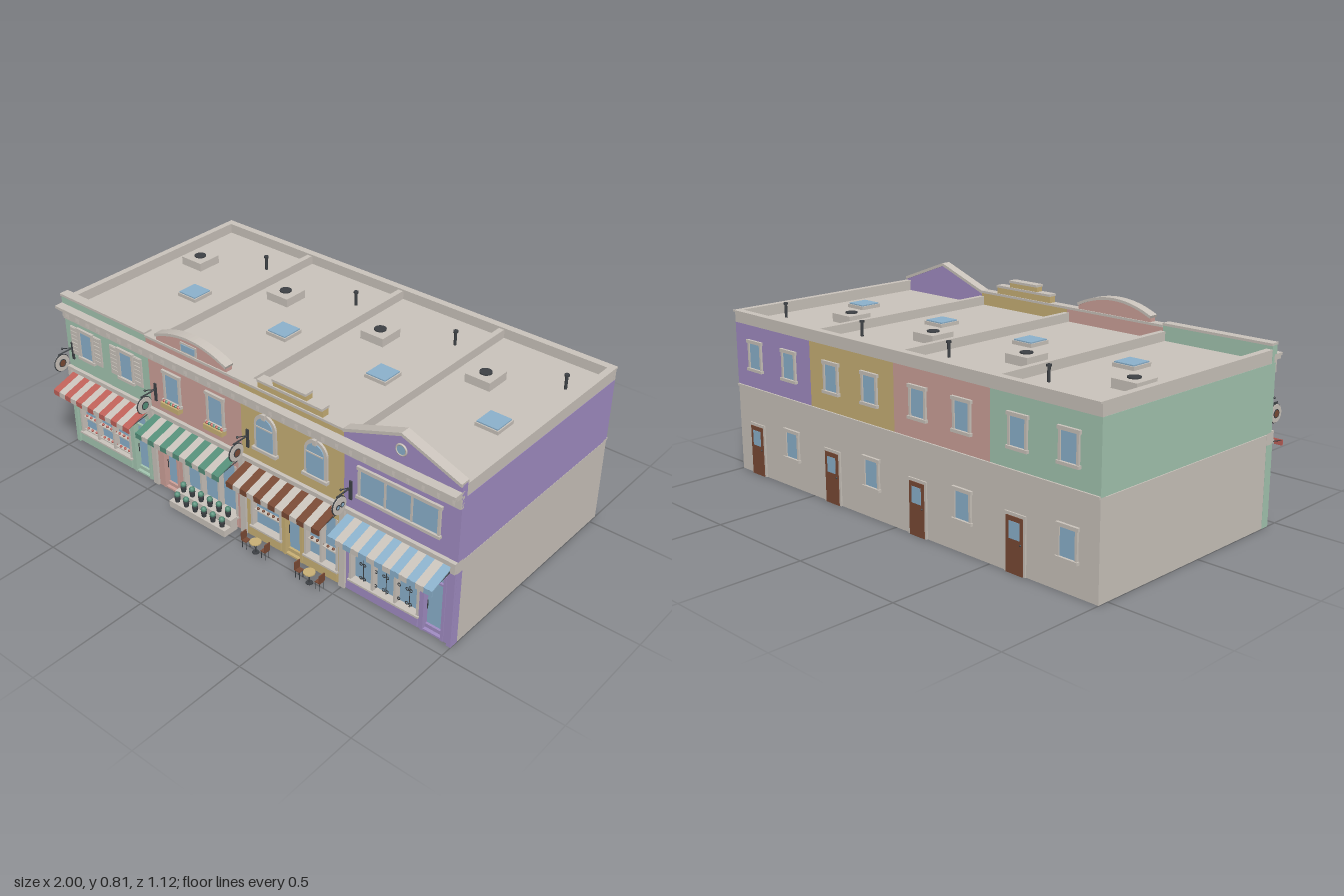
import * as THREE from 'three';

const mat = (name, color, side = THREE.FrontSide) => Object.assign(new THREE.MeshStandardMaterial({ color, side }), { name });
const M = {
  stone: mat('stone', 0xcbc4bc), green: mat('pale green', 0xa4c6b1), pink: mat('pink', 0xcfa29a),
  mustard: mat('mustard', 0xc9b176), purple: mat('purple', 0xa28dc4), glass: mat('glass', 0x8cb2cd),
  dark: mat('dark metal', 0x3d4145), brown: mat('brown', 0x7a4a35), red: mat('red', 0xc0625a),
  leaf: mat('deep green', 0x56907a),
};

function add(parent, name, geo, m, x = 0, y = 0, z = 0) {
  const mesh = new THREE.Mesh(geo, m);
  mesh.name = name;
  mesh.position.set(x, y, z);
  parent.add(mesh);
  return mesh;
}
const box = (p, name, m, x0, x1, y0, y1, z0, z1) =>
  add(p, name, new THREE.BoxGeometry(x1 - x0, y1 - y0, z1 - z0), m, (x0 + x1) / 2, (y0 + y1) / 2, (z0 + z1) / 2);
const cyl = (p, name, m, r, h, x, y, z, r2 = r) => add(p, name, new THREE.CylinderGeometry(r2, r, h, 16), m, x, y, z);
const plate = (p, name, m, pts, z0, z1) =>
  add(p, name, new THREE.ExtrudeGeometry(new THREE.Shape(pts.map(([x, y]) => new THREE.Vector2(x, y))),
    { depth: z1 - z0, bevelEnabled: false }), m, 0, 0, z0);
function rod(p, name, m, a, b, r) {
  const A = new THREE.Vector3(...a), B = new THREE.Vector3(...b), d = B.clone().sub(A);
  const mesh = add(p, name, new THREE.CylinderGeometry(r, r, d.length(), 8), m, ...A.add(B).multiplyScalar(0.5).toArray());
  mesh.quaternion.setFromUnitVectors(new THREE.Vector3(0, 1, 0), d.normalize());
  return mesh;
}

// Framed window on a wall; s = 1 front, -1 back
function wallWindow(p, x, w, y0, y1, z, s = 1, panes = 1) {
  const f = 0.01, g = new THREE.Group();
  g.name = 'window';
  box(g, 'windowGlass', M.glass, -w / 2, w / 2, y0, y1, 0, 0.004);
  for (const k of [-1, 1]) box(g, 'windowJamb', M.stone, k * w / 2 - f / 2, k * w / 2 + f / 2, y0, y1, 0, 0.009);
  box(g, 'windowHead', M.stone, -w / 2 - f, w / 2 + f, y1 - 0.004, y1 + 0.01, 0, 0.011);
  box(g, 'windowSill', M.stone, -w / 2 - f, w / 2 + f, y0 - 0.012, y0, 0, 0.014);
  for (let i = 1; i < panes; i++) box(g, 'mullion', M.stone, -w / 2 + w * i / panes - 0.004, -w / 2 + w * i / panes + 0.004, y0, y1, 0, 0.008);
  g.position.set(x, 0, z);
  if (s < 0) g.rotation.y = Math.PI;
  p.add(g);
}

// Ground floor front: wall with openings, glazing, bulkheads
function shopFront(p, m, windows, door) {
  const rect = (a, b, c, d) => [[a, c], [b, c], [b, d], [a, d]].map(([x, y]) => new THREE.Vector2(x, y));
  const s = new THREE.Shape(rect(-0.25, 0.25, 0, 0.33));
  for (const [a, b] of windows) s.holes.push(new THREE.Path(rect(a, b, 0.055, 0.295)));
  s.holes.push(new THREE.Path(rect(door[0], door[1], 0.008, 0.295)));
  add(p, 'shopWall', new THREE.ExtrudeGeometry(s, { depth: 0.03, bevelEnabled: false }), m, 0, 0, 0.41);
  for (const [a, b] of windows) {
    box(p, 'shopGlass', M.glass, a, b, 0.055, 0.295, 0.411, 0.416);
    box(p, 'bulkhead', m, a - 0.005, b + 0.005, 0.008, 0.05, 0.44, 0.448);
    const n = Math.max(1, Math.round((b - a) / 0.1));
    for (let i = 0; i <= n; i++) {
      const x = a + (b - a) * i / n;
      box(p, 'shopMullion', M.stone, x - 0.005, x + 0.005, 0.05, 0.295, 0.416, 0.443);
    }
    box(p, 'shopSill', M.stone, a - 0.008, b + 0.008, 0.048, 0.056, 0.416, 0.45);
  }
  const [a, b] = door;
  box(p, 'doorGlass', M.glass, a, b, 0.008, 0.295, 0.411, 0.416);
  for (const [y, h] of [[0.008, 0.016], [0.23, 0.008]]) box(p, 'doorRail', m, a, b, y, y + h, 0.416, 0.426);
  for (const x of [a, b]) box(p, 'doorStile', m, x - 0.006, x + 0.006, 0, 0.295, 0.416, 0.443);
  rod(p, 'doorHandle', M.dark, [a + 0.014, 0.1, 0.428], [a + 0.014, 0.14, 0.428], 0.002);
}

// Striped sloping awning with a hanging front edge
function awning(p, m) {
  const n = 13, w = 0.46 / n, slope = Math.hypot(0.11, 0.035);
  for (let i = 0; i < n; i++) {
    const x = -0.23 + w * (i + 0.5), c = i % 2 ? M.stone : m;
    add(p, 'awningStripe', new THREE.BoxGeometry(w, 0.004, slope), c, x, 0.333, 0.5).rotation.x = Math.atan2(0.035, 0.11);
    box(p, 'awningValance', c, x - w / 2, x + w / 2, 0.294, 0.317, 0.552, 0.556);
  }
  for (const x of [-0.225, 0.225]) rod(p, 'awningArm', M.dark, [x, 0.332, 0.44], [x, 0.315, 0.55], 0.002);
}

// Round hanging sign, facing sideways
function hangingSign(p, icon) {
  const x = -0.218, y = 0.43, z = 0.507;
  cyl(p, 'signDisc', M.stone, 0.036, 0.01, x, y, z).rotation.z = Math.PI / 2;
  add(p, 'signRim', new THREE.TorusGeometry(0.036, 0.003, 6, 28), M.dark, x, y, z).rotation.y = Math.PI / 2;
  rod(p, 'signRod', M.dark, [x, 0.472, 0.44], [x, 0.472, 0.52], 0.003);
  rod(p, 'signBrace', M.dark, [x, 0.473, 0.445], [x, 0.492, 0.495], 0.002);
  add(p, 'signFinial', new THREE.SphereGeometry(0.005, 8, 6), M.dark, x, 0.492, 0.497);
  box(p, 'signPlate', M.dark, x - 0.006, x + 0.006, 0.42, 0.5, 0.44, 0.446);
  for (const s of [-1, 1]) for (const dz of icon === M.glass ? [-0.012, 0.012] : [0]) {
    const r = dz ? 0.009 : 0.016;
    cyl(p, 'signEmblem', icon, r, 0.003, x + s * 0.006, y, z + dz).rotation.z = Math.PI / 2;
    add(p, 'signEmblemRing', new THREE.TorusGeometry(r, 0.002, 6, 18), M.dark, x + s * 0.0065, y, z + dz).rotation.y = Math.PI / 2;
  }
}

// Flat goods shelves in a shop window
function shelves(p, a, b, heights, m) {
  for (const y of heights) {
    box(p, 'shelf', M.stone, a, b, y, y + 0.005, 0.417, 0.438);
    for (let x = a + 0.015; x < b; x += 0.026) add(p, 'goods', new THREE.SphereGeometry(0.006, 8, 6), m, x, y + 0.009, 0.43);
  }
}

function plant(p, x, y, z, k = 1) {
  cyl(p, 'plantPot', M.dark, 0.009 * k, 0.022 * k, x, y + 0.011 * k, z, 0.012 * k);
  add(p, 'foliage', new THREE.IcosahedronGeometry(0.012 * k, 1), M.leaf, x, y + 0.032 * k, z);
}

// Shared body, cornice, roof equipment and rear of each unit
function unit(root, name, cx, m, stripe, icon) {
  const g = new THREE.Group();
  g.name = name;
  g.position.x = cx;
  root.add(g);
  box(g, 'upperFloor', m, -0.25, 0.25, 0.375, 0.645, -0.545, 0.44);
  box(g, 'frontParapet', m, -0.25, 0.25, 0.645, 0.705, 0.415, 0.445);
  box(g, 'fascia', M.stone, -0.25, 0.25, 0.33, 0.37, 0.41, 0.444);
  box(g, 'beltCourse', M.stone, -0.25, 0.25, 0.37, 0.381, 0.41, 0.456);
  box(g, 'frieze', M.stone, -0.25, 0.25, 0.607, 0.657, 0.43, 0.447);
  box(g, 'corniceLower', M.stone, -0.25, 0.25, 0.655, 0.666, 0.43, 0.472);
  box(g, 'corniceUpper', M.stone, -0.25, 0.25, 0.666, 0.677, 0.43, 0.483);
  for (let i = 0; i < 8; i++) {
    const x = -0.219 + i * 0.0625;
    box(g, 'corniceBracket', M.stone, x - 0.009, x + 0.009, 0.63, 0.656, 0.447, 0.466);
    box(g, 'bracketFoot', M.stone, x - 0.007, x + 0.007, 0.615, 0.63, 0.447, 0.456);
  }
  awning(g, stripe);
  hangingSign(g, icon);
  // Roof fan box, skylight, pipe
  box(g, 'fanBox', M.stone, -0.167, -0.055, 0.648, 0.686, -0.271, -0.159);
  cyl(g, 'roofFan', M.dark, 0.025, 0.006, -0.111, 0.688, -0.215);
  box(g, 'skylightCurb', M.stone, 0.03, 0.13, 0.648, 0.665, -0.04, 0.06);
  box(g, 'skylightGlass', M.glass, 0.035, 0.125, 0.665, 0.67, -0.035, 0.055);
  cyl(g, 'ventPipe', M.dark, 0.006, 0.06, 0.147, 0.678, -0.36);
  cyl(g, 'ventCap', M.dark, 0.01, 0.008, 0.147, 0.71, -0.36);
  // Rear door and windows
  for (const x of [-0.115, 0.115]) wallWindow(g, x, 0.08, 0.465, 0.575, -0.545, -1);
  wallWindow(g, -0.115, 0.08, 0.13, 0.24, -0.545, -1);
  box(g, 'rearDoorFrame', M.stone, 0.075, 0.175, 0, 0.225, -0.551, -0.545);
  box(g, 'rearDoor', M.brown, 0.085, 0.165, 0, 0.213, -0.554, -0.545);
  box(g, 'rearDoorGlass', M.glass, 0.1, 0.15, 0.13, 0.195, -0.5555, -0.55);
  add(g, 'rearDoorKnob', new THREE.SphereGeometry(0.004, 8, 6), M.dark, 0.095, 0.115, -0.5545);
  return g;
}
const coping = (g, a, b, y) => box(g, 'coping', M.stone, a, b, y, y + 0.01, 0.41, 0.451);

export function createModel() {
  const root = new THREE.Group();
  root.name = 'shopRow';

  // Shell: open underneath, ceiling, roof, parapets
  for (const s of [-1, 1]) {
    box(root, 'sideWall', M.stone, s * 0.985 - 0.014, s * 0.985 + 0.014, 0, 0.372, -0.545, 0.412);
    box(root, 'sideParapet', M.stone, s * 0.988 - 0.011, s * 0.988 + 0.011, 0.645, 0.69, -0.54, 0.42);
    box(root, 'sideCoping', M.stone, s * 0.986 - 0.014, s * 0.986 + 0.014, 0.69, 0.697, -0.55, 0.415);
  }
  box(root, 'rearWall', M.stone, -0.998, 0.998, 0, 0.372, -0.545, -0.52);
  box(root, 'rearBelt', M.stone, -1, 1, 0.37, 0.38, -0.552, -0.52);
  box(root, 'rearParapet', M.stone, -1, 1, 0.645, 0.69, -0.545, -0.53);
  box(root, 'rearCoping', M.stone, -1, 1, 0.69, 0.697, -0.555, -0.523);
  box(root, 'ceiling', M.stone, -0.99, 0.99, 0.362, 0.3745, -0.54, 0.435);
  box(root, 'roof', M.stone, -0.998, 0.998, 0.645, 0.65, -0.54, 0.416);
  for (const x of [-0.5, 0, 0.5]) box(root, 'partyParapet', M.stone, x - 0.012, x + 0.012, 0.645, 0.688, -0.53, 0.416);
  [-0.99, -0.5, 0, 0.5, 0.99].forEach((x, i) => {
    const w = i % 4 ? 0.014 : 0.0095, m = [M.green, M.stone, M.stone, M.stone, M.purple][i];
    box(root, 'pilaster', m, x - w, x + w, 0, 0.335, 0.44, 0.45);
    box(root, 'pilasterCapital', M.stone, x - w, x + w, 0.335, 0.372, 0.44, 0.456);
  });

  // Green bakery with shutters
  const a = unit(root, 'greenShop', -0.75, M.green, M.red, M.brown);
  shopFront(a, M.green, [[-0.215, 0.095]], [0.12, 0.21]);
  shelves(a, -0.205, 0.085, [0.065, 0.13, 0.205], M.red);
  for (const x of [-0.123, 0.118]) {
    wallWindow(a, x, 0.078, 0.455, 0.577, 0.44);
    for (const s of [-1, 1]) {
      const c = x + s * 0.07;
      box(a, 'shutter', M.stone, c - 0.023, c + 0.023, 0.45, 0.582, 0.44, 0.446);
      for (let y = 0.465; y < 0.575; y += 0.018) box(a, 'louvre', M.stone, c - 0.017, c + 0.017, y, y + 0.007, 0.446, 0.449);
    }
  }
  coping(a, -0.25, 0.25, 0.711);
  box(a, 'raisedParapet', M.green, -0.25, 0.25, 0.7, 0.712, 0.415, 0.445);

  // Pink flower shop with curved gable
  const b = unit(root, 'pinkShop', -0.25, M.pink, M.leaf, M.leaf);
  shopFront(b, M.pink, [[-0.085, 0.21]], [-0.205, -0.12]);
  for (const x of [-0.118, 0.118]) {
    wallWindow(b, x, 0.082, 0.455, 0.577, 0.44);
    box(b, 'flowerBox', M.mustard, x - 0.05, x + 0.05, 0.424, 0.446, 0.44, 0.466);
    for (let i = -3; i <= 3; i++) add(b, 'boxFlower', new THREE.IcosahedronGeometry(0.008, 0), i % 2 ? M.red : M.leaf, x + i * 0.013, 0.449, 0.453);
  }
  coping(b, -0.25, 0.25, 0.703);
  const arc = Array.from({ length: 21 }, (_, i) => [-0.187 + 0.0187 * i, 0.728 + 0.045 * (1 - (i / 10 - 1) ** 2)]);
  plate(b, 'curvedGable', M.pink, [[-0.187, 0.7], [0.187, 0.7], ...arc.slice().reverse()], 0.415, 0.446);
  plate(b, 'curvedCoping', M.stone, [...arc, ...arc.map(([x, y]) => [x * 1.02, y + 0.011]).reverse()], 0.41, 0.452);
  box(b, 'gableFrame', M.stone, -0.05, 0.036, 0.716, 0.757, 0.444, 0.45);
  box(b, 'gableGlass', M.glass, -0.042, 0.028, 0.722, 0.75, 0.448, 0.453);
  box(b, 'plantStepLow', M.stone, -0.095, 0.215, 0, 0.03, 0.45, 0.522);
  box(b, 'plantStepHigh', M.stone, -0.095, 0.215, 0.03, 0.06, 0.45, 0.486);
  for (let i = 0; i < 6; i++) {
    plant(b, -0.065 + i * 0.05, 0.06, 0.468, 1.05);
    plant(b, -0.065 + i * 0.05, 0.03, 0.504, 1.05);
  }

  // Mustard cafe with arched windows and stepped gable
  const c = unit(root, 'mustardShop', 0.25, M.mustard, M.brown, M.brown);
  shopFront(c, M.mustard, [[-0.21, -0.06], [0.065, 0.22]], [-0.04, 0.045]);
  shelves(c, -0.2, -0.07, [0.13], M.brown);
  shelves(c, 0.075, 0.21, [0.13], M.brown);
  for (const x of [-0.123, 0.123]) {
    const arch = (r, y0) => [[x - r, y0], [x + r, y0],
      ...Array.from({ length: 17 }, (_, i) => [x + r * Math.cos(Math.PI * i / 16), 0.55 + r * Math.sin(Math.PI * i / 16)])];
    plate(c, 'archSurround', M.stone, arch(0.054, 0.45), 0.44, 0.449);
    plate(c, 'archGlass', M.glass, arch(0.04, 0.452), 0.446, 0.453);
    box(c, 'archSill', M.stone, x - 0.06, x + 0.06, 0.437, 0.45, 0.44, 0.458);
    box(c, 'archTransom', M.stone, x - 0.04, x + 0.04, 0.545, 0.551, 0.45, 0.456);
    box(c, 'keystone', M.stone, x - 0.008, x + 0.008, 0.587, 0.61, 0.44, 0.458);
  }
  for (const [w, y] of [[0.25, 0.703], [0.155, 0.74], [0.08, 0.77]]) {
    box(c, 'gableStep', M.mustard, -w, w, 0.68, y, 0.415, 0.4455);
    coping(c, -w, w, y);
  }
  for (const x of [-0.13, 0.145]) {
    cyl(c, 'tableBase', M.dark, 0.014, 0.004, x, 0.002, 0.51);
    rod(c, 'tableLeg', M.dark, [x, 0, 0.51], [x, 0.05, 0.51], 0.003);
    cyl(c, 'tableTop', M.mustard, 0.024, 0.005, x, 0.052, 0.51);
    for (const s of [-1, 1]) {
      const k = x + s * 0.05;
      box(c, 'chairSeat', M.brown, k - 0.012, k + 0.012, 0.034, 0.038, 0.497, 0.523);
      box(c, 'chairBack', M.brown, k + s * 0.011 - 0.002, k + s * 0.011 + 0.002, 0.038, 0.074, 0.495, 0.525);
      for (const [dx, z] of [[-0.01, 0.5], [0.01, 0.5], [-0.01, 0.52], [0.01, 0.52]]) rod(c, 'chairLeg', M.dark, [k + dx, 0, z], [k + dx, 0.035, z], 0.0015);
    }
  }

  // Purple spectacle shop with triangular gable
  const d = unit(root, 'purpleShop', 0.75, M.purple, M.glass, M.glass);
  shopFront(d, M.purple, [[-0.215, 0.095]], [0.115, 0.205]);
  wallWindow(d, -0.005, 0.345, 0.46, 0.573, 0.44, 1, 3);
  const tri = [[-0.25, 0.7], [0, 0.792], [0.25, 0.7]];
  plate(d, 'triangularGable', M.purple, tri.slice().reverse(), 0.415, 0.4455);
  plate(d, 'gableCoping', M.stone, [...tri, ...tri.map(([x, y]) => [x, y + 0.013]).reverse()], 0.41, 0.452);
  cyl(d, 'oculusGlass', M.glass, 0.02, 0.006, 0, 0.735, 0.447).rotation.x = Math.PI / 2;
  add(d, 'oculusRing', new THREE.TorusGeometry(0.021, 0.004, 8, 28), M.stone, 0, 0.735, 0.448);
  for (let i = 0; i < 5; i++) {
    const x = -0.165 + i * 0.053;
    rod(d, 'displayPost', M.dark, [x, 0.056, 0.425], [x, 0.215, 0.425], 0.0015);
    for (const y of [0.075, 0.14, 0.2]) for (const s of [-1, 1])
      add(d, 'spectacleRim', new THREE.TorusGeometry(0.006, 0.0018, 6, 14), M.dark, x + s * 0.008, y, 0.43);
  }
  return root;
}
